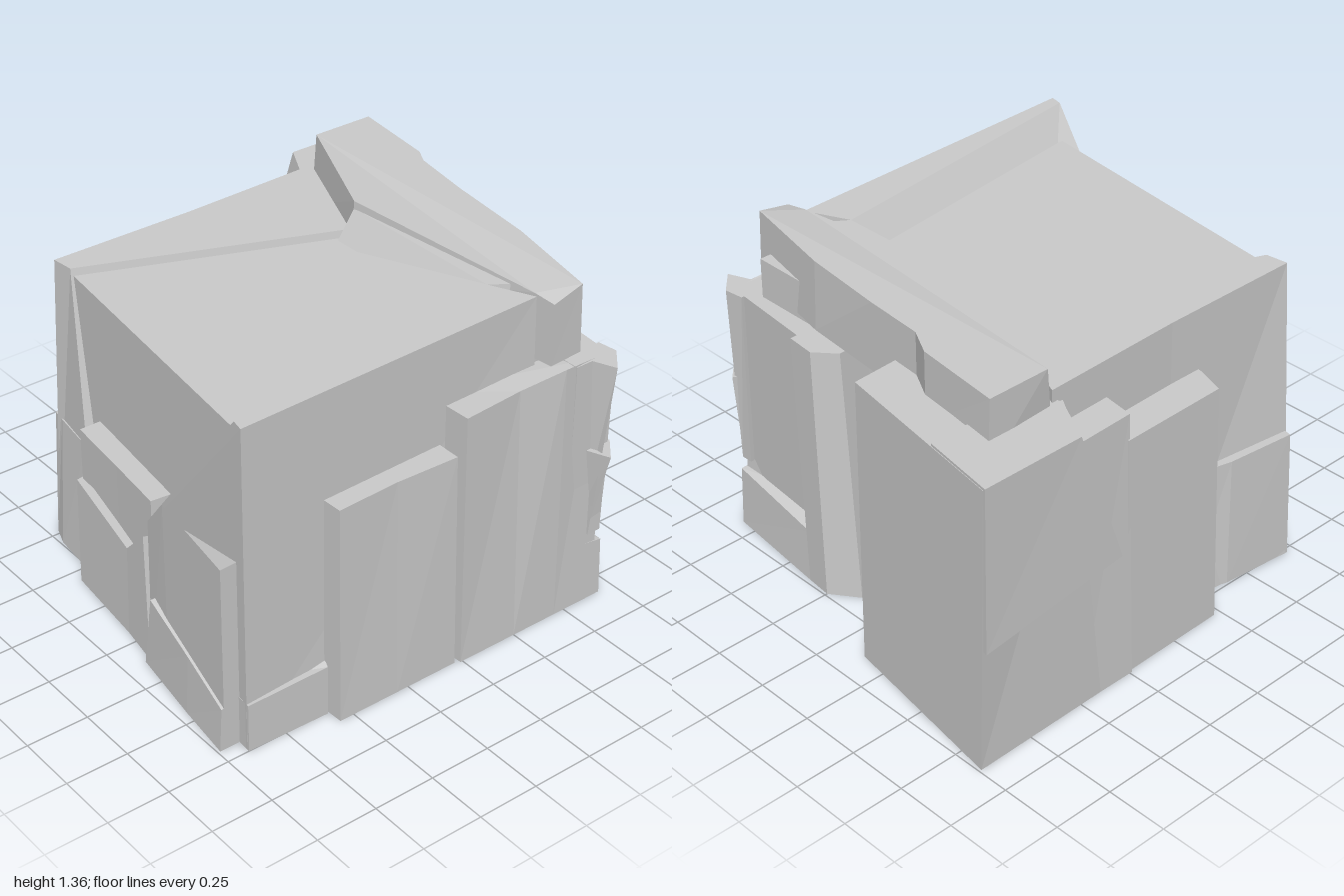
import * as THREE from 'three';

const stone = new THREE.MeshStandardMaterial({ color: 0xcccccc, flatShading: true });

// Faceted chunk of rock between two matching outlines.
// Outline points are [x, z] at the given height, or [x, z, y] with their own.
function chunk(name, top, topY, bottom = top.map(p => [p[0], p[1]]), bottomY = 0) {
  const flat = top.map(p => new THREE.Vector2(p[0], -p[1]));
  if (THREE.ShapeUtils.area(flat) < 0) {
    flat.reverse();
    top = [...top].reverse();
    bottom = [...bottom].reverse();
  }
  const place = (list, y) => list.map(p => [p[0], p[2] ?? y, p[1]]);
  const T = place(top, topY), B = place(bottom, bottomY), pos = [];
  const tri = (a, b, c) => pos.push(...a, ...b, ...c);
  for (const [a, b, c] of THREE.ShapeUtils.triangulateShape(flat, [])) {
    tri(T[a], T[b], T[c]);
    tri(B[c], B[b], B[a]);
  }
  T.forEach((_, i) => {
    const j = (i + 1) % T.length;
    tri(B[i], B[j], T[j]);
    tri(B[i], T[j], T[i]);
  });
  const geo = new THREE.BufferGeometry();
  geo.setAttribute('position', new THREE.Float32BufferAttribute(pos, 3));
  geo.computeVertexNormals();
  const mesh = new THREE.Mesh(geo, stone);
  mesh.name = name;
  return mesh;
}

export function createModel() {
  const rock = new THREE.Group();
  rock.name = 'rockBlock';
  rock.add(
    // Core, whose top and upper front are the sunken faces
    chunk('core', [[-0.68, -0.6], [0.1, -0.62], [0.69, -0.62], [0.7, 0.84], [-0.6, 0.68]], 1.22),

    // Raised shoulder left of the sunken top
    chunk('leftShoulder',
      [[-0.7, -0.5], [-0.2, -0.29], [-0.59, 0.69], [-0.68, 0.7], [-0.68, 0.1]], 1.25,
      [[-0.72, -0.5], [-0.2, -0.29], [-0.41, 0.76], [-0.77, 0.7], [-0.7, 0.1]]),

    // Right rim; its sloping inner face cuts the front along a diagonal
    chunk('rightWedge',
      [[0.53, -0.32], [0.7, -0.4], [0.74, 0.91], [0.69, 0.9]], 1.33,
      [[-0.4, -0.28], [0.73, -0.4], [0.74, 0.91], [-0.42, 0.75]]),

    // Slope between the sunken top and the back slab
    chunk('backSlope',
      [[-0.2, -0.31], [0.53, -0.32], [0.6, -0.42], [-0.2, -0.42]], 1.33,
      [[-0.2, -0.22], [0.46, -0.21], [0.6, -0.42], [-0.2, -0.42]], 1.2),

    // Overhanging slab along the back
    chunk('backSlab',
      [[-0.72, -0.54], [-0.2, -0.31], [0.69, -0.4, 1.34], [0.78, -0.41, 1.33], [0.77, -0.55],
        [0.35, -0.64], [0, -0.68], [-0.25, -0.7], [-0.36, -0.76], [-0.72, -0.8]], 1.36,
      [[-0.7, -0.5], [-0.2, -0.29], [0.69, -0.4], [0.78, -0.41], [0.77, -0.56],
        [0.35, -0.65], [0, -0.68], [-0.25, -0.7], [-0.36, -0.76], [-0.72, -0.81]], 1.08),

    // Tall corner block at the back, its upper half stepping outward
    chunk('backCornerBlock',
      [[-0.9, -1], [-0.14, -0.88], [-0.13, -0.7], [-0.13, -0.5], [-0.7, -0.45], [-0.86, -0.55]], 1.19,
      [[-0.87, -0.99], [-0.13, -0.88], [-0.12, -0.7], [-0.13, -0.5], [-0.7, -0.4], [-0.86, -0.4]]),
    chunk('backCornerLedge',
      [[-0.91, -1], [-0.6, -0.95], [-0.6, -0.5], [-0.72, -0.47], [-0.91, -0.57]], 1.2,
      [[-0.9, -0.99, 0.52], [-0.6, -0.94, 0.55], [-0.6, -0.45], [-0.72, -0.4], [-0.91, -0.36]], 0.61),

    // Slabs on the -x side
    chunk('sideSlabBack',
      [[-0.83, -0.5], [-0.6, -0.45], [-0.6, -0.22], [-0.82, -0.25]], 1.1,
      [[-0.86, -0.5], [-0.6, -0.45], [-0.6, -0.22], [-0.86, -0.24]]),
    chunk('sideSlabMiddle',
      [[-0.83, -0.26], [-0.6, -0.26], [-0.6, 0.25], [-0.7, 0.24], [-0.82, 0.2]], 1,
      [[-0.85, -0.26], [-0.6, -0.26], [-0.6, 0.25], [-0.7, 0.25], [-0.84, 0.22]]),
    chunk('sideFoot',
      [[-0.69, 0.24], [-0.5, 0.24], [-0.5, 0.73], [-0.7, 0.7], [-0.76, 0.69], [-0.73, 0.4]], 0.55,
      [[-0.69, 0.24], [-0.5, 0.24], [-0.5, 0.76], [-0.69, 0.74], [-0.77, 0.71], [-0.74, 0.4]]),

    // Stepped slabs on the front
    chunk('frontLeftUpper',
      [[-0.43, 0.7], [0.12, 0.75], [0.11, 0.85], [-0.15, 0.82], [-0.43, 0.79]], 0.68),
    chunk('frontLeftLower',
      [[-0.44, 0.7, 0.47], [0.11, 0.75, 0.5], [0.08, 0.87, 0.52], [-0.06, 0.85, 0.38], [-0.44, 0.81, 0.46]], 0.46,
      [[-0.44, 0.7], [0.12, 0.75], [0.12, 0.89], [-0.06, 0.86], [-0.44, 0.82]]),
    chunk('frontRightUpper',
      [[0.14, 0.75, 0.64], [0.69, 0.8, 0.78], [0.69, 0.97, 0.77], [0.27, 0.91, 0.78], [0.13, 0.88, 0.62]], 0.77,
      [[0.12, 0.75], [0.69, 0.8], [0.69, 0.97], [0.27, 0.91], [0.12, 0.88]]),
    chunk('frontRightLower',
      [[0.18, 0.75, 0.32], [0.69, 0.8, 0.21], [0.69, 0.98, 0.18], [0.45, 0.95, 0.25], [0.17, 0.91, 0.31]], 0.25,
      [[0.12, 0.75], [0.69, 0.8], [0.69, 0.99], [0.45, 0.96], [0.12, 0.91]]),
    chunk('frontRightToe',
      [[0.5, 0.7, 0.22], [0.73, 0.56, 0.22], [0.76, 0.57, 0.21], [0.75, 0.91, 0.2], [0.6, 0.9, 0.2]], 0.2),

    // Slabs on the +x side
    chunk('sidePanelFront',
      [[0.6, 0.04], [0.81, 0.04], [0.8, 0.3], [0.81, 0.56], [0.6, 0.57]], 0.9,
      [[0.6, 0.03], [0.82, 0.03], [0.82, 0.3], [0.82, 0.56], [0.6, 0.57]]),
    chunk('sidePanelBack',
      [[0.6, 0.02], [0.82, 0.01], [0.8, -0.25], [0.82, -0.45, 1.07], [0.81, -0.6, 1.06], [0.6, -0.6]], 1.05,
      [[0.6, 0.02], [0.83, 0.01], [0.83, -0.25], [0.83, -0.45], [0.83, -0.66], [0.6, -0.66]]),

    // Pointed flake at the back +x corner
    chunk('cornerFlake',
      [[0.74, -0.54], [0.91, -0.61], [0.82, -0.69], [0.74, -0.68]], 1.06,
      [[0.78, -0.6], [0.83, -0.6], [0.83, -0.66], [0.78, -0.66]], 0.3),
    chunk('cornerFlakeEdge',
      [[0.74, -0.54], [0.91, -0.61], [0.82, -0.69]], 0.68,
      [[0.78, -0.6], [0.84, -0.6], [0.83, -0.66]], 0.38),

    // Back panel, its low sill and the column beside it
    chunk('backPanel',
      [[0.3, -0.5], [0.82, -0.5], [0.82, -0.66], [0.3, -0.71]], 1.06,
      [[0.3, -0.5], [0.82, -0.5], [0.82, -0.63], [0.3, -0.66]]),
    chunk('backSill',
      [[0.2, -0.5, 0.27], [0.82, -0.5, 0.27], [0.83, -0.67, 0.25], [0.36, -0.72, 0.22], [0.2, -0.7, 0.22]], 0.25,
      [[0.2, -0.5], [0.82, -0.5], [0.83, -0.68], [0.36, -0.73], [0.2, -0.7]]),
    chunk('backColumn',
      [[0.18, -0.5], [0.38, -0.5], [0.37, -0.75], [0.25, -0.76], [0.17, -0.69]], 1.08,
      [[0.14, -0.5], [0.38, -0.5], [0.36, -0.73], [0.25, -0.74], [0.14, -0.66]]),
  );
  return rock;
}
